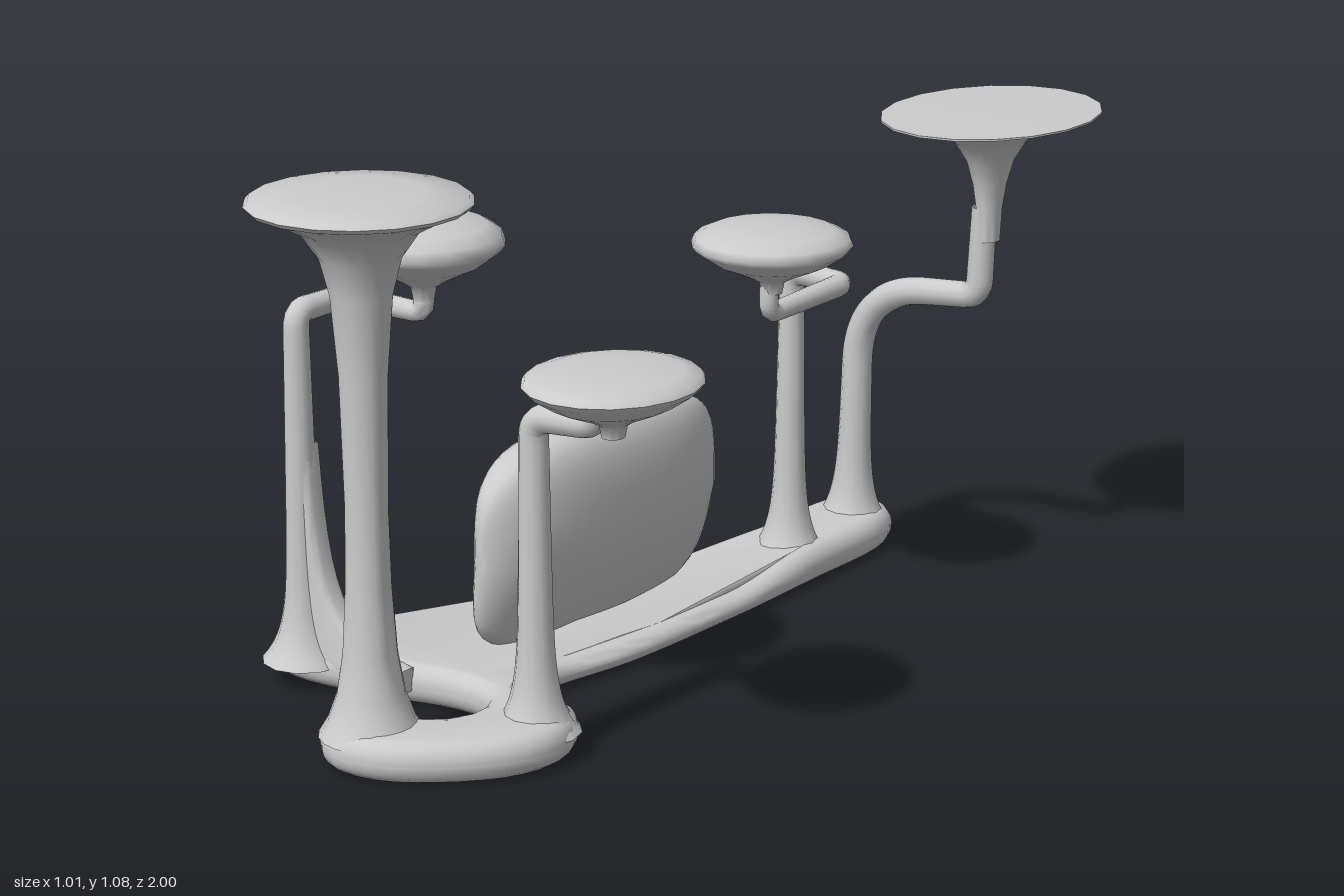
import * as THREE from 'three';
import { mergeVertices, toCreasedNormals } from 'three/addons/utils/BufferGeometryUtils.js';

const material = new THREE.MeshStandardMaterial({ color: 0xcccccc, side: THREE.DoubleSide });
const V = (x, y, z) => new THREE.Vector3(x, y, z);

function smooth(geometry, angle = 0.9) {
  geometry.deleteAttribute('uv');
  geometry.deleteAttribute('normal');
  return toCreasedNormals(mergeVertices(geometry, 1e-4), angle);
}

function mesh(name, geometry) {
  const m = new THREE.Mesh(geometry, material);
  m.name = name;
  return m;
}

// Turned part from [radius, height] pairs
function turned(name, profile, x, z, depthScale = 1, sides = 18) {
  const g = new THREE.LatheGeometry(profile.map(([r, y]) => new THREE.Vector2(r, y)), sides);
  const m = mesh(name, smooth(g, 1.1));
  m.position.set(x, 0, z);
  m.scale.z = depthScale;
  return m;
}

// Straight runs joined by rounded corners, swept with a taper and a flared foot
function bentStem(name, points, bends, r0, r1) {
  const path = new THREE.CurvePath();
  let from = points[0];
  for (let i = 1; i < points.length - 1; i++) {
    const p = points[i];
    const a = p.clone().add(points[i - 1].clone().sub(p).setLength(bends[i - 1]));
    const b = p.clone().add(points[i + 1].clone().sub(p).setLength(bends[i - 1]));
    path.add(new THREE.LineCurve3(from, a));
    path.add(new THREE.QuadraticBezierCurve3(a, p, b));
    from = b;
  }
  path.add(new THREE.LineCurve3(from, points[points.length - 1]));

  const rings = 90, sides = 12, length = path.getLength();
  const g = new THREE.TubeGeometry(path, rings, 1, sides);
  const pos = g.attributes.position, v = V(0, 0, 0);
  for (let i = 0; i <= rings; i++) {
    const u = i / rings, c = path.getPointAt(u);
    const r = r0 + (r1 - r0) * u + 0.05 * Math.exp(-u * length / 0.055);
    for (let j = 0; j <= sides; j++) {
      const k = i * (sides + 1) + j;
      v.fromBufferAttribute(pos, k).sub(c).multiplyScalar(r).add(c);
      pos.setXYZ(k, v.x, v.y, v.z);
    }
  }
  return mesh(name, smooth(g, 1.1));
}

// Lens-shaped pad with a short neck; y is the height of its rim
function pad(name, x, y, z, r, top, bottom, depthScale = 1) {
  const profile = [[0.13, -1.3], [0.16, -1], [0.32, -0.82], [0.7, -0.48], [0.95, -0.14], [1, 0]]
    .map(([a, b]) => [a * r, y + b * bottom]);
  for (const [a, b] of [[0.96, 0.4], [0.78, 0.75], [0.4, 0.95], [0, 1]]) profile.push([a * r, y + b * top]);
  return turned(name, profile, x, z, depthScale);
}

// Curving base plate with a hooked front end, thinner in the middle
function basePlate() {
  const outline = [
    [-0.04, -0.825], [-0.11, -0.79], [-0.133, -0.7], [-0.135, -0.5], [-0.19, -0.32], [-0.34, 0.06],
    [-0.46, 0.37], [-0.5, 0.53], [-0.48, 0.59], [-0.42, 0.6], [-0.25, 0.575], [-0.1, 0.535], [0, 0.54],
    [0.045, 0.59], [0.045, 0.66], [0, 0.71], [-0.08, 0.71], [-0.14, 0.75], [-0.145, 0.83],
    [-0.08, 0.885], [0.03, 0.875], [0.15, 0.79], [0.225, 0.69], [0.243, 0.59], [0.2, 0.5],
    [0.11, 0.455], [0.03, 0.42], [0.005, 0.34], [0.04, 0.12], [0.055, -0.2], [0.06, -0.5],
    [0.055, -0.72], [0.02, -0.8],
  ];
  const curve = new THREE.CatmullRomCurve3(outline.map(([x, z]) => V(x, z, 0)), true);
  const shape = new THREE.Shape(curve.getSpacedPoints(110).slice(0, -1).map(p => new THREE.Vector2(p.x, p.y)));
  const g = new THREE.ExtrudeGeometry(shape, {
    depth: 0.005, bevelThickness: 0.04, bevelSize: 0.035, bevelOffset: -0.035, bevelSegments: 4,
  });
  g.rotateX(Math.PI / 2).translate(0, 0.045, 0);
  const pos = g.attributes.position;
  for (let i = 0; i < pos.count; i++) {
    const t = THREE.MathUtils.smoothstep(Math.abs(pos.getZ(i) - 0.02), 0.22, 0.52);
    pos.setY(i, 0.004 + pos.getY(i) * (0.6 + 0.37 * t));
  }
  return mesh('basePlate', smooth(g));
}

// Upright rounded slab, lens-shaped from above and narrower at the bottom
function uprightSlab() {
  const g = new THREE.SphereGeometry(1, 28, 24).rotateX(Math.PI / 2);
  const pos = g.attributes.position;
  const power = (a, p) => Math.sign(a) * Math.pow(Math.abs(a), p);
  for (let i = 0; i < pos.count; i++) {
    const x = pos.getX(i), y = pos.getY(i), z = pos.getZ(i);
    const s = Math.hypot(x, y) || 1e-6;
    const h = power(y / s, 0.65) * Math.pow(s, 0.55);
    const low = Math.max(0, -h);
    pos.setXYZ(i,
      -0.118 - 0.03 * low + 0.09 * (1 - 0.4 * low) * power(x / s, 0.65) * Math.pow(s, 1.2),
      0.255 + 0.223 * h,
      0.04 + 0.365 * power(z, 0.6));
  }
  return mesh('uprightSlab', smooth(g, 1.2));
}

// Concave web running from the left-hand foot along the base
function footWeb() {
  const s = new THREE.Shape();
  s.moveTo(-0.44, 0.05);
  s.lineTo(-0.18, 0.05);
  s.lineTo(-0.18, 0.075);
  s.bezierCurveTo(-0.36, 0.1, -0.39, 0.2, -0.41, 0.48);
  s.lineTo(-0.44, 0.48);
  const g = new THREE.ExtrudeGeometry(s, {
    depth: 0.02, bevelThickness: 0.016, bevelSize: 0.012, bevelSegments: 3, curveSegments: 12,
  });
  return mesh('footWeb', smooth(g.translate(0, 0, 0.553)));
}

export function createModel() {
  const model = new THREE.Group();
  model.name = 'padStand';
  model.add(basePlate(), uprightSlab(), footWeb());

  // Tall straight trumpet at the front
  model.add(turned('frontTrumpet', [
    [0.1, 0.06], [0.082, 0.09], [0.064, 0.14], [0.051, 0.22], [0.043, 0.35], [0.04, 0.5], [0.045, 0.75],
    [0.057, 0.9], [0.075, 0.97], [0.11, 1.02], [0.165, 1.05], [0.2, 1.062], [0.206, 1.07],
    [0.198, 1.078], [0.12, 1.086], [0, 1.088],
  ], -0.055, 0.79));

  // Front pads on cranked stems
  model.add(bentStem('frontRightStem', [
    V(-0.425, 0.05, 0.57), V(-0.425, 0.752, 0.57), V(-0.425, 0.752, 0.43), V(-0.225, 0.752, 0.43),
    V(-0.225, 0.85, 0.43)], [0.03, 0.025, 0.025], 0.036, 0.019));
  model.add(pad('frontRightPad', -0.225, 0.89, 0.43, 0.157, 0.05, 0.085));
  model.add(bentStem('frontLeftStem', [
    V(0.16, 0.05, 0.575), V(0.16, 0.66, 0.575), V(0.3, 0.67, 0.575), V(0.325, 0.74, 0.575)],
  [0.04, 0.03], 0.036, 0.025));
  model.add(pad('frontLeftPad', 0.344, 0.762, 0.575, 0.159, 0.024, 0.08, 1.1));

  // Rear pad on a twice-turned arm
  model.add(bentStem('rearMiddleStem', [
    V(-0.03, 0.05, -0.49), V(-0.03, 0.665, -0.49), V(0.1, 0.66, -0.49), V(0.1, 0.655, -0.23),
    V(0.1, 0.77, -0.23)], [0.035, 0.025, 0.025], 0.035, 0.018));
  model.add(pad('rearMiddlePad', 0.103, 0.8, -0.235, 0.161, 0.038, 0.078));

  // Rear trumpet with a flat oval top on a swept arm
  model.add(bentStem('rearStem', [
    V(-0.035, 0.05, -0.73), V(-0.025, 0.58, -0.73), V(0.272, 0.61, -0.73), V(0.28, 0.8, -0.73)],
  [0.17, 0.035], 0.036, 0.026));
  model.add(turned('rearTrumpet', [
    [0.022, 0.73], [0.025, 0.8], [0.032, 0.85], [0.045, 0.9], [0.068, 0.94], [0.1, 0.967],
    [0.15, 0.987], [0.207, 0.995], [0.207, 0.999], [0, 1],
  ], 0.288, -0.735, 1.28));
  return model;
}
